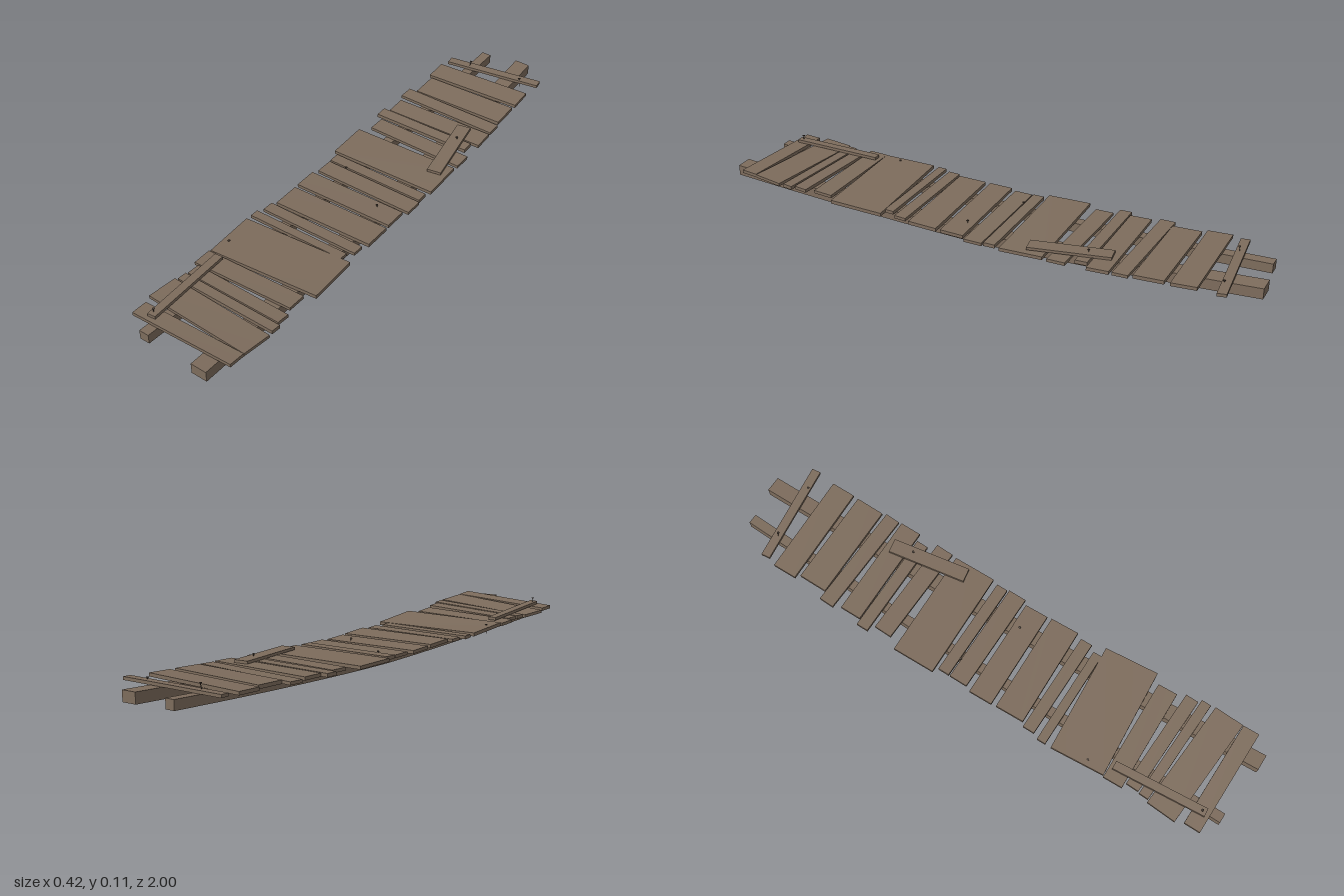
import * as THREE from 'three';

const wood = new THREE.MeshStandardMaterial({ color: 0x7d6c5c });
wood.name = 'weathered wood';
const iron = new THREE.MeshStandardMaterial({ color: 0x4a4038 });
iron.name = 'rusty iron';

// Sagging beams: front and back end centres, width, height, top heights at front, middle and back
const beams = {
  left: { z: 0.98, xf: -0.112, xb: -0.076, w: 0.036, h: 0.034, top: [0.075, 0.046, 0.089], roll: -0.002 },
  right: { z: 1, xf: 0.124, xb: 0.077, w: 0.058, h: 0.038, top: [0.082, 0.04, 0.09], roll: -0.004 },
};

// Height of the top of a beam at z
function beamTop({ top: [front, mid, back] }, z) {
  return mid + ((z > 0 ? front : back) - mid) * Math.pow(Math.abs(z), 1.5);
}

// Height of the surface resting on both beams
function deckHeight(x, z) {
  const l = beamTop(beams.left, z), r = beamTop(beams.right, z);
  return l + (r - l) * (x + 0.095) / 0.195;
}

// Move every vertex of a geometry by a rule
function warp(geometry, rule) {
  const p = geometry.attributes.position, v = new THREE.Vector3();
  for (let i = 0; i < p.count; i++) {
    rule(v.fromBufferAttribute(p, i));
    p.setXYZ(i, v.x, v.y, v.z);
  }
  geometry.computeVertexNormals();
  return geometry;
}

function makeBeam(name, b) {
  const geo = warp(new THREE.BoxGeometry(b.w, b.h, b.z * 2, 1, 1, 24), (v) => {
    v.y += beamTop(b, v.z) - b.h / 2 + b.roll * (v.x / b.w + 0.5) * 0.6;
    v.x += b.xb + (b.xf - b.xb) * (v.z / b.z + 1) / 2;
  });
  const mesh = new THREE.Mesh(geo, wood);
  mesh.name = name;
  return mesh;
}

// A board from (x0, z0) to (x1, z1) lying on the deck, raised at each end
function makeBoard(name, [x0, z0, x1, z1, width], thick, lift0 = 0, lift1 = 0) {
  const dx = x1 - x0, dz = z1 - z0, len = Math.hypot(dx, dz);
  const geo = warp(new THREE.BoxGeometry(1, thick, width), (v) => {
    const t = v.x + 0.5, side = v.z;
    v.x = x0 + dx * t - dz / len * side;
    v.z = z0 + dz * t + dx / len * side;
    v.y += deckHeight(v.x, v.z) + thick / 2 + lift0 + (lift1 - lift0) * t;
  });
  const mesh = new THREE.Mesh(geo, wood);
  mesh.name = name;
  return mesh;
}

// Cross planks: left x, left z, right x, right z, width
const planks = [
  [-0.17, -0.852, 0.205, -0.897, 0.032],
  [-0.18, -0.762, 0.198, -0.772, 0.088],
  [-0.162, -0.652, 0.198, -0.655, 0.105],
  [-0.195, -0.571, 0.205, -0.561, 0.055],
  [-0.18, -0.478, 0.207, -0.484, 0.078],
  [-0.202, -0.413, 0.18, -0.415, 0.044],
  [-0.175, -0.344, 0.207, -0.336, 0.066],
  [-0.204, -0.196, 0.205, -0.206, 0.158],
  [-0.182, -0.084, 0.198, -0.085, 0.042],
  [-0.182, -0.024, 0.203, -0.024, 0.068],
  [-0.192, 0.074, 0.188, 0.066, 0.088],
  [-0.187, 0.19, 0.193, 0.18, 0.107],
  [-0.2, 0.275, 0.182, 0.276, 0.044],
  [-0.212, 0.333, 0.163, 0.332, 0.033],
  [-0.206, 0.472, 0.205, 0.445, 0.2],
  [-0.204, 0.61, 0.18, 0.603, 0.072],
  [-0.184, 0.675, 0.195, 0.69, 0.048],
  [-0.19, 0.722, 0.206, 0.739, 0.036],
  [-0.205, 0.797, 0.205, 0.828, 0.11],
  [-0.196, 0.91, 0.2, 0.914, 0.06],
];

// Nails: x, z, height of the head above the deck, sideways lean
const nails = [
  [-0.133, 0.91, 0.038, 0],
  [-0.078, -0.86, 0.03, -0.2],
  [0.13, -0.42, 0.032, 0.1],
  [0.1, 0.05, 0.02, 0.15],
  [-0.11, -0.06, 0.016, 0],
  [-0.182, 0.5, 0.016, 0],
  [0.13, -0.88, 0.016, 0.1],
];

function makeNail([x, z, rise, lean]) {
  const nail = new THREE.Group();
  nail.name = 'nail';
  const shaft = new THREE.Mesh(new THREE.CylinderGeometry(0.0016, 0.0008, 0.034, 6), iron);
  shaft.name = 'nailShaft';
  shaft.position.y = -0.017;
  const head = new THREE.Mesh(new THREE.CylinderGeometry(0.0045, 0.0045, 0.002, 8), iron);
  head.name = 'nailHead';
  nail.add(shaft, head);
  nail.position.set(x, deckHeight(x, z) + rise, z);
  nail.rotation.z = lean;
  return nail;
}

export function createModel() {
  const bridge = new THREE.Group();
  bridge.name = 'plankBridge';
  bridge.add(makeBeam('leftBeam', beams.left), makeBeam('rightBeam', beams.right));

  planks.forEach((p, i) => {
    bridge.add(makeBoard('plank' + (i + 1), p, 0.011 + 0.001 * (i % 3)));
  });

  // Loose boards lying on top of the planks
  bridge.add(makeBoard('looseBoardBack', [0.112, -0.5, 0.162, -0.215, 0.052], 0.01, 0.013, 0.016));
  bridge.add(makeBoard('looseBoardFront', [-0.152, 0.585, -0.13, 0.925, 0.03], 0.011, 0.014, 0.013));

  nails.forEach((n) => bridge.add(makeNail(n)));
  return bridge;
}
